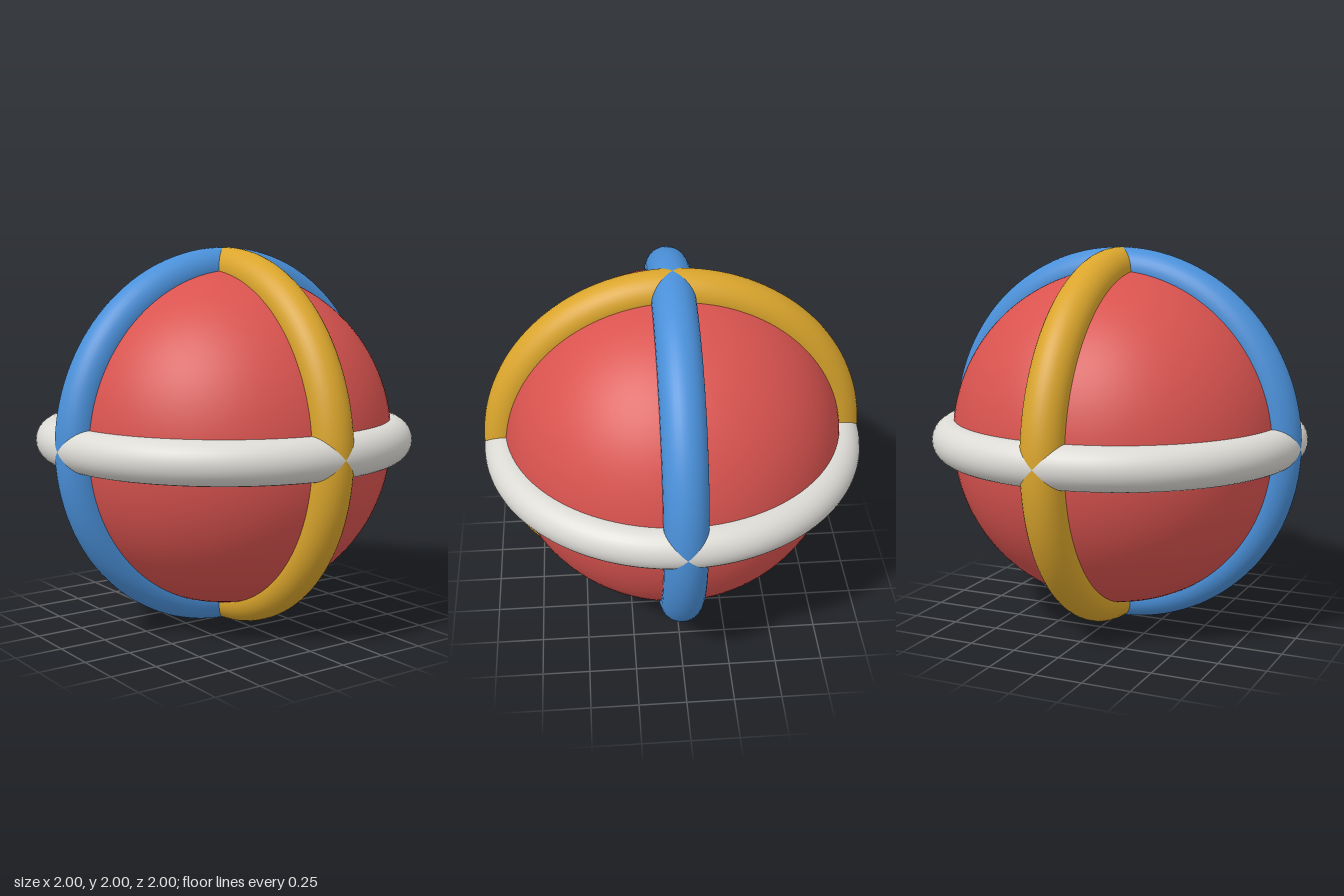
import * as THREE from 'three';

const RING_RADIUS = 0.89;
const TUBE_RADIUS = 0.11;

function material(name, color) {
  const m = new THREE.MeshStandardMaterial({ color });
  m.name = name;
  return m;
}

export function createModel() {
  const model = new THREE.Group();
  model.name = 'ringedBall';

  function add(name, geometry, mat) {
    const mesh = new THREE.Mesh(geometry, mat);
    mesh.name = name;
    mesh.position.y = 1;
    model.add(mesh);
    return mesh;
  }

  // Ball in the middle
  add('ball', new THREE.SphereGeometry(RING_RADIUS, 96, 64), material('red', 0xd9534f));

  // Three equal bands, one around each axis, half sunk into the ball
  const band = new THREE.TorusGeometry(RING_RADIUS, TUBE_RADIUS, 32, 128);
  add('frontBand', band, material('gold', 0xdaa52c));
  add('sideBand', band, material('blue', 0x4a90d9)).rotation.y = Math.PI / 2;
  add('equatorBand', band, material('offWhite', 0xdcdad5)).rotation.x = Math.PI / 2;

  return model;
}
